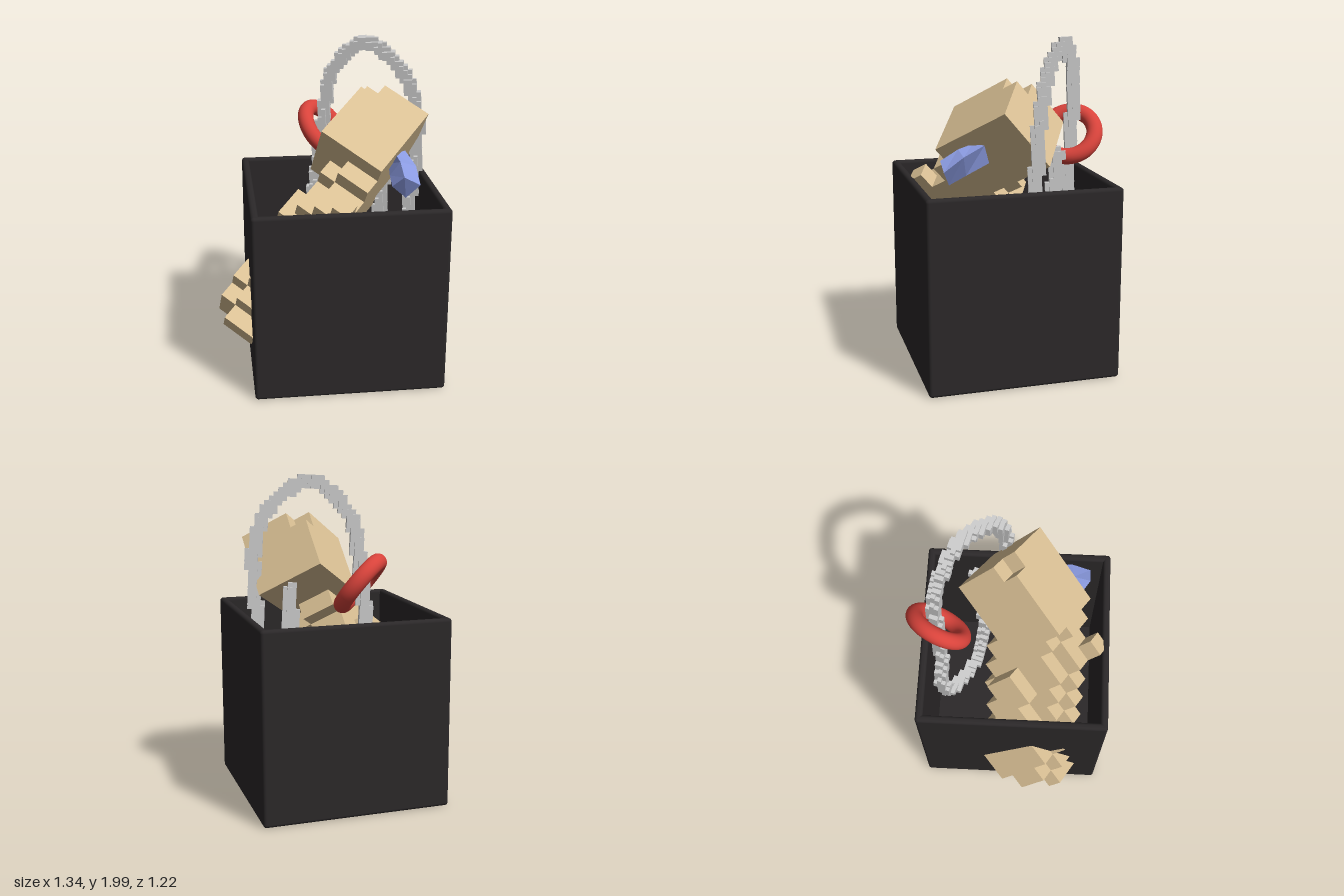
import * as THREE from 'three';
import { RoundedBoxGeometry } from 'three/addons/geometries/RoundedBoxGeometry.js';

const V = (x, y, z) => new THREE.Vector3(x, y, z);
const mat = (color, extra = {}) => new THREE.MeshStandardMaterial({ color, ...extra });

// Stepped surface of all lattice cells accepted by inside(i, j, k, centre).
// lattice: matrix from cell units to model space; range: [min, max] cell per axis.
function cellGeometry(lattice, range, inside) {
  const filled = new Set(), key = (c) => c.join();
  const centre = V(0, 0, 0);
  for (let i = range[0][0]; i <= range[0][1]; i++)
    for (let j = range[1][0]; j <= range[1][1]; j++)
      for (let k = range[2][0]; k <= range[2][1]; k++) {
        centre.set(i + 0.5, j + 0.5, k + 0.5).applyMatrix4(lattice);
        if (inside(i, j, k, centre)) filled.add(key([i, j, k]));
      }
  const pos = [];
  for (const name of filled) {
    const cell = name.split(',').map(Number);
    for (let a = 0; a < 3; a++)
      for (const side of [0, 1]) {
        const next = cell.slice();
        next[a] += side ? 1 : -1;
        if (filled.has(key(next))) continue;
        const b = (a + 1) % 3, c = (a + 2) % 3;
        const q = [[0, 0], [1, 0], [1, 1], [0, 1]].map(([u, v]) => {
          const p = cell.slice();
          p[a] += side; p[b] += u; p[c] += v;
          return V(...p).applyMatrix4(lattice);
        });
        for (const n of side ? [0, 1, 2, 0, 2, 3] : [0, 2, 1, 0, 3, 2]) pos.push(...q[n].toArray());
      }
  }
  const g = new THREE.BufferGeometry();
  g.setAttribute('position', new THREE.Float32BufferAttribute(pos, 3));
  g.computeVertexNormals();
  return g;
}

// Closed loft through four-cornered sections
function loft(sections) {
  const pos = [];
  const quad = (a, b, c, d) => [a, b, c, a, c, d].forEach((p) => pos.push(...p));
  for (let s = 0; s + 1 < sections.length; s++)
    for (let i = 0; i < 4; i++) {
      const j = (i + 1) % 4, A = sections[s], B = sections[s + 1];
      quad(A[i], B[i], B[j], A[j]);
    }
  const end = sections[sections.length - 1];
  quad(...sections[0]);
  quad(end[3], end[2], end[1], end[0]);
  const g = new THREE.BufferGeometry();
  g.setAttribute('position', new THREE.Float32BufferAttribute(pos, 3));
  g.computeVertexNormals();
  return g;
}

export function createModel() {
  const model = new THREE.Group();
  const add = (name, geometry, material, parent = model) => {
    const mesh = new THREE.Mesh(geometry, material);
    mesh.name = name;
    parent.add(mesh);
    return mesh;
  };

  // Open box: four rounded walls and a floor
  const crate = new THREE.Group();
  crate.name = 'openBox';
  model.add(crate);
  const dark = mat(0x2b2829);
  const W = 1.15, H = 1.16, T = 0.046, cx = 0.105, cz = 0.035;
  for (const s of [-1, 1]) {
    add('sideWall', new RoundedBoxGeometry(T, H, W, 4, 0.02), dark, crate)
      .position.set(cx + s * (W - T) / 2, H / 2, cz);
    add('endWall', new RoundedBoxGeometry(W, H, T, 4, 0.02), dark, crate)
      .position.set(cx, H / 2, cz + s * (W - T) / 2);
  }
  add('floor', new RoundedBoxGeometry(W, T, W, 4, 0.02), dark, crate).position.set(cx, T / 2, cz);

  // Tilted lattice shared by the block figure's parts
  const unit = 0.105;
  const e1 = V(0.34, 0.245, -0.325).normalize();
  const e3 = V(0.0181, 0.165, 0.1435).normalize();
  const e2 = e3.clone().cross(e1).normalize();
  e3.crossVectors(e1, e2);
  const tilted = new THREE.Matrix4().makeBasis(e1, e2, e3)
    .scale(V(unit, unit, unit)).setPosition(0.285, 1.36, 0.475);
  const sand = mat(0xdcc296, { flatShading: true });
  const figure = new THREE.Group();
  figure.name = 'blockFigure';
  model.add(figure);

  // Head: 5 x 4 x 4 cells with one corner cell missing
  const isHead = (i, j, k) => i >= 0 && i < 5 && j >= 0 && j < 4 && k >= -4 && k < 0
    && !(i === 4 && j === 3 && k === -1);
  add('head', cellGeometry(tilted, [[0, 4], [0, 3], [-4, -1]], isHead), sand, figure);

  // Body: slanting elliptical column that pokes through the box wall
  const foot = V(-0.55, 0.3, 0.17), axis = V(0.75, 0.95, 0);
  const length = axis.length();
  axis.normalize();
  const across = V(-axis.y, axis.x, 0);
  const grid = [[-20, 10], [-15, 15], [-18, 6]];
  add('body', cellGeometry(tilted, grid, (i, j, k, c) => {
    const d = c.clone().sub(foot), t = d.dot(axis);
    return !isHead(i, j, k) && t > 0.03 && t < length
      && (d.dot(across) / 0.17) ** 2 + (d.z / 0.245) ** 2 < 1;
  }), sand, figure);

  // Arm: short stub towards the front
  const arm = new THREE.Line3(V(0.02, 1.11, 0.47), V(0.08, 0.95, 0.3));
  add('arm', cellGeometry(tilted, grid, (i, j, k, c) =>
    arm.closestPointToPoint(c, true, V(0, 0, 0)).distanceTo(c) < 0.09), sand, figure);

  // Rope: finely stepped tube arching over the box and coiling inside
  const path = new THREE.CatmullRomCurve3([
    V(0.42, 1.32, -0.22), V(0.4, 0.9, -0.18), V(0.24, 0.42, -0.22), V(0.04, 0.35, -0.36),
    V(-0.05, 0.6, -0.43), V(0.02, 1.1, -0.42), V(0.07, 1.5, -0.43), V(0.12, 1.76, -0.41),
    V(0.3, 1.95, -0.3), V(0.5, 1.82, -0.14), V(0.595, 1.57, -0.06), V(0.585, 1.2, -0.04),
    V(0.53, 0.7, -0.04), V(0.5, 0.3, -0.05),
  ]).getSpacedPoints(260);
  const step = 0.026;
  const fine = new THREE.Matrix4().makeRotationFromEuler(new THREE.Euler(0.06, -0.25, 0.07))
    .scale(V(step, step, step));
  add('rope', cellGeometry(fine, [[-12, 36], [2, 80], [-30, 12]], (i, j, k, c) =>
    path.some((p) => p.distanceToSquared(c) < 0.042 ** 2)), mat(0xcccccc, { flatShading: true }));

  // Red ring hanging on the rope
  const ring = add('ring', new THREE.TorusGeometry(0.159, 0.05, 24, 64), mat(0xd8433b));
  ring.position.set(0.06, 1.375, -0.418);
  ring.quaternion.setFromUnitVectors(V(0, 0, 1), V(0.66, 0.62, 0.43).normalize());

  // Blue bent horn on the head's side
  add('horn', loft([
    [[0.42, 1.32, 0.475], [0.36, 1.25, 0.42], [0.44, 1.18, 0.43], [0.515, 1.27, 0.475]],
    [[0.415, 1.38, 0.37], [0.36, 1.29, 0.34], [0.44, 1.23, 0.33], [0.51, 1.35, 0.36]],
    [[0.4, 1.405, 0.28], [0.37, 1.33, 0.24], [0.46, 1.3, 0.2], [0.47, 1.405, 0.23]],
  ]), mat(0x8a9ae0, { flatShading: true, side: THREE.DoubleSide }));

  return model;
}
